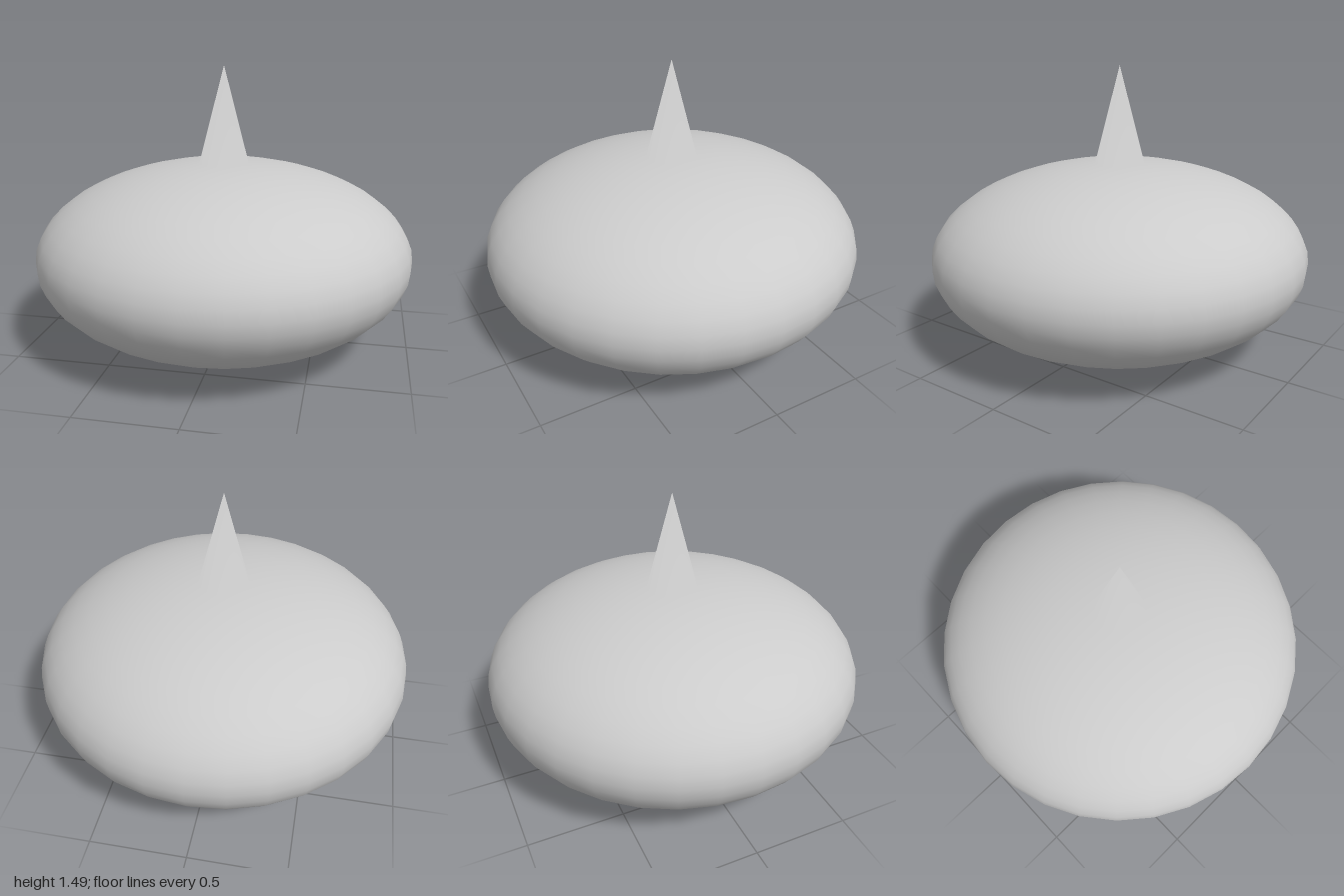
import * as THREE from 'three';

const HALF_HEIGHT = 0.49;
const TIP_Y = 1.485;
const COLS = 32;
const ROWS = 24;

export function createModel() {
  const group = new THREE.Group();
  group.name = 'spikedEllipsoid';

  // Flattened sphere standing on the ground, with smooth normals
  const geometry = new THREE.SphereGeometry(1, COLS, ROWS);
  geometry.scale(1, HALF_HEIGHT, 1);
  geometry.translate(0, HALF_HEIGHT, 0);

  // Pull the top pole up into a spike; keeping the normals lets its shading blend into the body
  const position = geometry.attributes.position;
  for (let i = 0; i <= COLS; i++) position.setY(i, TIP_Y);

  const body = new THREE.Mesh(geometry, new THREE.MeshStandardMaterial({ color: 0xcccccc }));
  body.name = 'bodyWithSpike';
  group.add(body);
  return group;
}
